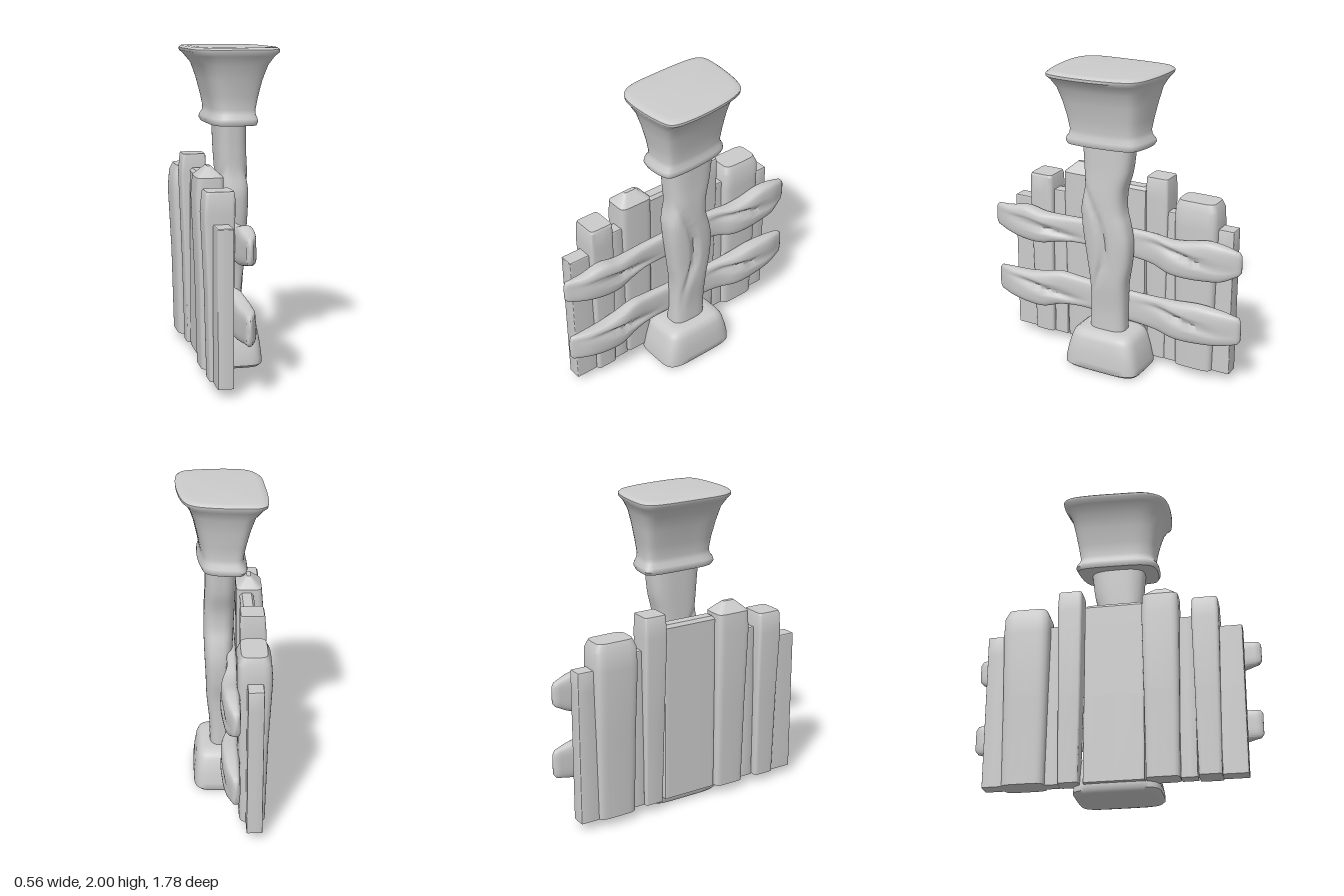
import * as THREE from 'three';
import { toCreasedNormals } from 'three/addons/utils/BufferGeometryUtils.js';

const material = new THREE.MeshStandardMaterial({ color: 0xcccccc });
const bump = (d, w) => Math.exp(-((d / w) ** 2));

// Rounded-rectangle (superellipse) outline, unit half size
function roundedOutline(power, count) {
  const squash = v => Math.sign(v) * Math.abs(v) ** (2 / power);
  return Array.from({ length: count }, (_, i) => {
    const a = (i / count) * Math.PI * 2;
    return [squash(Math.cos(a)), squash(Math.sin(a))];
  });
}

// Skin rows of [y, x0, x1, z0, z1] with an outline; shape() may adjust each vertex
function loft(rows, outline, shape = () => {}, crease = 0.8) {
  const pos = [], idx = [], n = outline.length, p = new THREE.Vector3();
  const centres = [];
  for (const [y, x0, x1, z0, z1] of rows) {
    const c = new THREE.Vector3();
    for (const [u, v] of outline) {
      p.set((x0 + x1) / 2 + u * (x1 - x0) / 2, y, (z0 + z1) / 2 + v * (z1 - z0) / 2);
      shape(p);
      pos.push(p.x, p.y, p.z);
      c.addScaledVector(p, 1 / n);
    }
    centres.push(c);
  }
  for (let i = 0; i < rows.length - 1; i++) {
    for (let j = 0; j < n; j++) {
      const a = i * n + j, b = i * n + (j + 1) % n;
      idx.push(a, a + n, b, b, a + n, b + n);
    }
  }
  // End caps
  const top = (rows.length - 1) * n, k = pos.length / 3;
  pos.push(...centres[0].toArray(), ...centres.at(-1).toArray());
  for (let j = 0; j < n; j++) {
    const m = (j + 1) % n;
    idx.push(k, j, m, k + 1, top + m, top + j);
  }
  const g = new THREE.BufferGeometry();
  g.setAttribute('position', new THREE.Float32BufferAttribute(pos, 3));
  g.setIndex(idx);
  return toCreasedNormals(g, crease);
}

// Smoothly resample a few key rows
function smoothRows(rows, steps) {
  const size = rows[0].length;
  const curve = new THREE.CubicInterpolant(
    new Float32Array(rows.map(r => r[0])), new Float32Array(rows.flat()), size);
  const a = rows[0][0], b = rows.at(-1)[0];
  return Array.from({ length: steps + 1 }, (_, i) =>
    Array.from(curve.evaluate(a + (b - a) * i / steps)));
}

export function createModel() {
  const model = new THREE.Group();
  const add = (name, geometry) => {
    const mesh = new THREE.Mesh(geometry, material);
    mesh.name = name;
    model.add(mesh);
  };

  // Stone foot
  add('base', loft([
    [0, -0.14, 0.15, -0.22, 0.23], [0.004, -0.165, 0.172, -0.25, 0.255],
    [0.02, -0.18, 0.188, -0.262, 0.27], [0.06, -0.18, 0.188, -0.26, 0.268],
    [0.14, -0.17, 0.18, -0.243, 0.25], [0.215, -0.16, 0.168, -0.222, 0.228],
    [0.245, -0.15, 0.155, -0.205, 0.215], [0.264, -0.13, 0.135, -0.18, 0.19],
    [0.27, -0.1, 0.1, -0.14, 0.15],
  ], roundedOutline(5, 48)));

  // Twisted trunk with a winding furrow on both broad faces
  const post = smoothRows([
    [0.24, -0.07, 0.08, -0.118, 0.132], [0.4, -0.07, 0.082, -0.12, 0.125],
    [0.6, -0.068, 0.1, -0.13, 0.125], [0.75, -0.066, 0.105, -0.155, 0.145],
    [0.9, -0.066, 0.112, -0.16, 0.165], [1.0, -0.07, 0.115, -0.142, 0.176],
    [1.1, -0.075, 0.115, -0.115, 0.18], [1.22, -0.08, 0.112, -0.115, 0.16],
    [1.36, -0.085, 0.106, -0.15, 0.162], [1.54, -0.09, 0.105, -0.172, 0.175],
  ], 60);
  const furrow = smoothRows([[0.2, 0.11], [0.55, 0.07], [0.8, 0.005], [1, 0.03],
    [1.15, 0.09], [1.3, 0.16], [1.6, 0.2]], 140);
  add('post', loft(post, roundedOutline(3, 80), p => {
    const i = Math.round((p.y - 0.2) * 100);
    const depth = bump(p.z - furrow[i][1], 0.024) * bump(p.y - 0.88, 0.3);
    p.x -= Math.sign(p.x) * Math.min(Math.abs(p.x), 0.034 * depth);
  }, 1.2));

  // Flared head with a lip at its foot
  const headOutline = new THREE.CatmullRomCurve3([
    [1, 0.38], [0.93, 0.88], [0.74, 0.98], [-0.6, 0.98], [-0.9, 0.72], [-0.99, 0.15],
    [-0.98, -0.83], [-0.86, -0.96], [-0.57, -1], [0.62, -0.82], [0.83, -0.56],
  ].map(([u, v]) => new THREE.Vector3(u, 0, v)), true, 'centripetal')
    .getPoints(72).slice(0, -1).map(p => [p.x, p.z]);
  add('head', loft([
    [1.52, -0.11, 0.12, -0.22, 0.22], [1.524, -0.135, 0.145, -0.25, 0.248],
    [1.545, -0.146, 0.155, -0.262, 0.258], [1.565, -0.142, 0.152, -0.258, 0.254],
    [1.59, -0.127, 0.143, -0.242, 0.236], [1.62, -0.124, 0.142, -0.236, 0.232],
    [1.7, -0.14, 0.157, -0.248, 0.243], [1.8, -0.165, 0.18, -0.266, 0.265],
    [1.89, -0.195, 0.212, -0.285, 0.29], [1.945, -0.238, 0.25, -0.312, 0.317],
    [1.968, -0.262, 0.278, -0.332, 0.332], [1.985, -0.264, 0.279, -0.334, 0.333],
    [1.997, -0.25, 0.265, -0.32, 0.318], [2, -0.22, 0.235, -0.29, 0.285],
  ], headOutline));

  // Two cross rails, lofted along z: [z, x0, x1, -top, -bottom]
  const rails = {
    upperRail: [
      [-0.86, -0.08, -0.03, -0.945, -0.79], [-0.76, -0.085, 0.005, -0.975, -0.74],
      [-0.66, -0.088, 0.018, -0.985, -0.725], [-0.5, -0.09, 0.026, -0.955, -0.718],
      [-0.4, -0.093, 0.018, -0.945, -0.725], [-0.28, -0.09, -0.015, -0.955, -0.755],
      [0, -0.09, -0.02, -0.96, -0.78], [0.3, -0.09, -0.015, -0.955, -0.785],
      [0.42, -0.088, 0.005, -0.955, -0.77], [0.52, -0.086, 0.024, -0.96, -0.748],
      [0.64, -0.083, 0.028, -0.985, -0.75], [0.77, -0.075, 0.012, -0.962, -0.775],
      [0.88, -0.072, -0.03, -0.95, -0.8],
    ],
    lowerRail: [
      [-0.87, -0.08, -0.03, -0.505, -0.325], [-0.76, -0.085, 0.005, -0.53, -0.3],
      [-0.6, -0.09, 0.022, -0.543, -0.282], [-0.45, -0.092, 0.022, -0.53, -0.28],
      [-0.3, -0.09, -0.012, -0.52, -0.3], [0, -0.09, -0.02, -0.522, -0.32],
      [0.28, -0.09, -0.012, -0.54, -0.332], [0.4, -0.088, 0.005, -0.552, -0.32],
      [0.52, -0.086, 0.024, -0.53, -0.285], [0.64, -0.083, 0.028, -0.513, -0.29],
      [0.77, -0.075, 0.012, -0.508, -0.31], [0.87, -0.072, -0.03, -0.5, -0.325],
    ],
  };
  for (const [name, keys] of Object.entries(rails)) {
    const rows = smoothRows(keys, 70);
    const mid = name === 'upperRail' ? -0.865 : -0.425;
    // Small rounded tips close both ends
    const tip = ([y, x0, x1, z0, z1], d) =>
      [y + d, x0 + 0.012, x1 - 0.012, z0 + 0.02, z1 - 0.02];
    const all = [tip(rows[0], -0.016), ...rows, tip(rows.at(-1), 0.016)];
    add(name, loft(all, roundedOutline(3.6, 64), p => {
      if (p.x < -0.04) return;
      const along = bump(Math.abs(p.y) - 0.5, 0.2);
      const wander = mid + 0.035 * Math.sin(p.y * 6);
      p.x -= 0.034 * along * bump(p.z - wander, 0.022);
    }, 1.1).rotateX(Math.PI / 2));
  }

  // Upright planks: x0, x1, z0, z1, shoulder height, top height, top inset, corner power
  const planks = [
    [-0.22, -0.125, 0.645, 0.797, 0.995, 1.0, 0.003, 20],
    [-0.262, -0.085, 0.49, 0.66, 1.175, 1.19, 0.008, 9],
    [-0.2, -0.12, 0.4, 0.5, 1.085, 1.09, 0.003, 20],
    [-0.265, -0.1, 0.182, 0.414, 1.235, 1.3, 0.07, 6],
    [-0.21, -0.12, -0.18, 0.19, 1.2, 1.22, 0.015, 20],
    [-0.25, -0.1, -0.345, -0.19, 1.295, 1.305, 0.005, 10],
    [-0.2, -0.12, -0.42, -0.33, 1.085, 1.09, 0.003, 20],
    [-0.272, -0.07, -0.688, -0.395, 1.15, 1.2, 0.022, 5],
    [-0.222, -0.125, -0.79, -0.665, 1.03, 1.037, 0.003, 20],
  ];
  planks.forEach(([x0, x1, z0, z1, shoulder, top, inset, power], i) => {
    const lean = power < 12 ? 0.016 : 0; // the stout planks narrow toward the ground
    const corner = power < 12 ? 0.01 : 0;
    add('plank' + (i + 1), loft([
      [0.055, x0 + lean * 1.5, x1 - lean, z0 + lean, z1 - lean],
      [0.6, x0 + lean * 0.7, x1 - lean * 0.3, z0 + lean * 0.5, z1 - lean * 0.5],
      [shoulder - 0.12, x0 - corner, x1, z0, z1],
      [shoulder, x0, x1, z0 + lean * 0.2, z1 - lean * 0.2],
      [top, x0 + inset, x1 - inset, z0 + inset * 1.1, z1 - inset * 1.1],
    ], roundedOutline(power, 32), () => {}, 0.5));
  });

  return model;
}
